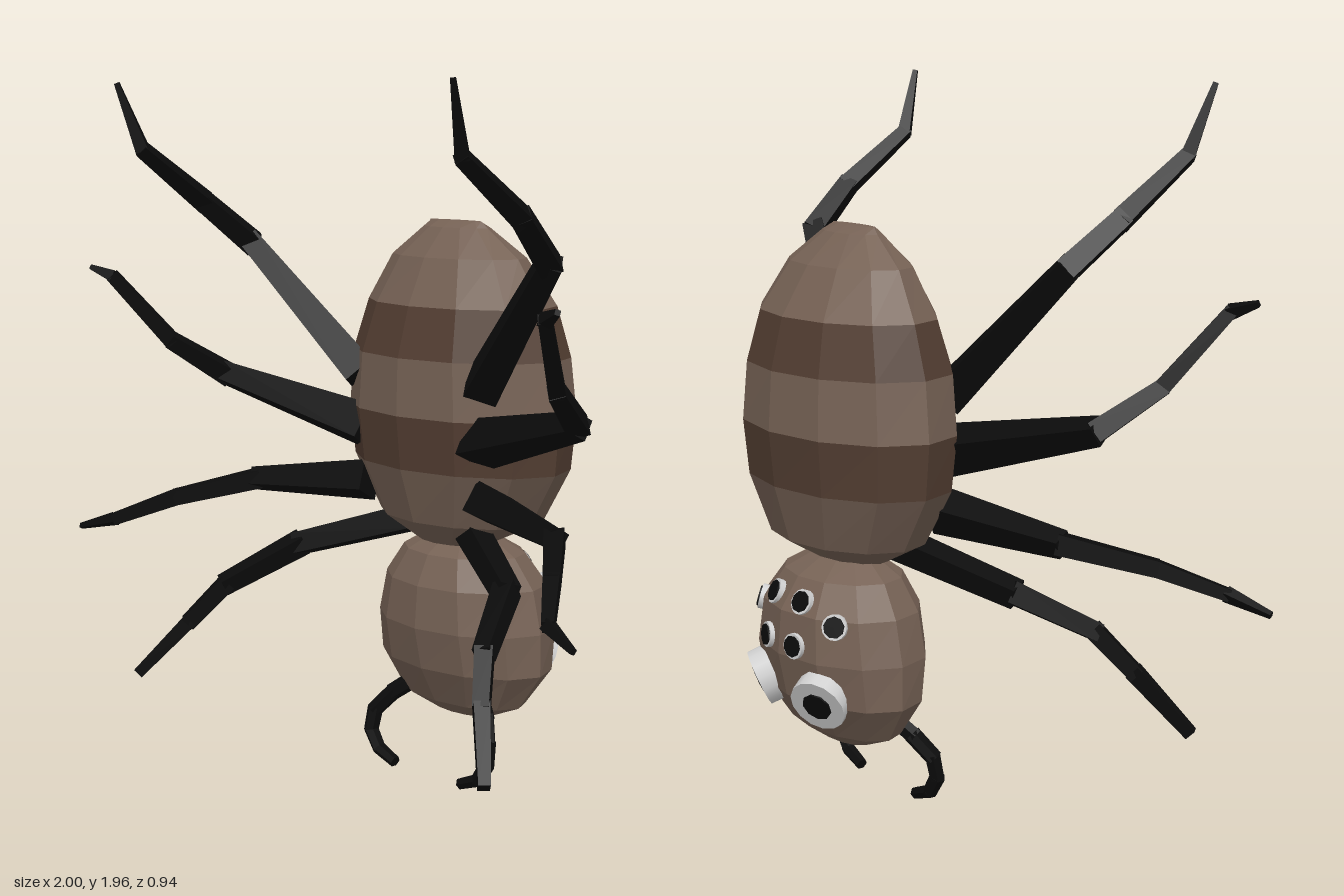
import * as THREE from 'three';

const mat = (name, color) => {
  const m = new THREE.MeshStandardMaterial({ color });
  m.name = name;
  return m;
};

// Flat-shaded loft of 12-sided elliptical rings, listed bottom to top as [y, halfWidth, zBack, zFront].
// rowMaterial gives the material index of each row.
function loft(rings, rowMaterial = () => 0) {
  const sides = 12, pos = [], geo = new THREE.BufferGeometry();
  const point = (j, i) => {
    const [y, w, zb, zf] = rings[j], a = (i / sides) * Math.PI * 2;
    return [w * Math.sin(a), y, (zb + zf) / 2 + ((zf - zb) / 2) * Math.cos(a)];
  };
  for (let j = 0; j < rings.length - 1; j++) {
    geo.addGroup(pos.length / 3, sides * 6, rowMaterial(j));
    for (let i = 0; i < sides; i++) {
      const a = point(j, i), b = point(j, i + 1), c = point(j + 1, i + 1), d = point(j + 1, i);
      pos.push(...a, ...b, ...c, ...a, ...c, ...d);
    }
  }
  geo.setAttribute('position', new THREE.Float32BufferAttribute(pos, 3));
  geo.computeVertexNormals();
  return geo;
}

// Tapered flat-sided rod between two points
function rod(p, q, r0, r1, sides, material) {
  const a = new THREE.Vector3(...p), b = new THREE.Vector3(...q), dir = b.clone().sub(a);
  const geo = new THREE.CylinderGeometry(r1, r0, dir.length() + r1 * 0.6, sides).toNonIndexed();
  geo.computeVertexNormals();
  const mesh = new THREE.Mesh(geo, material);
  mesh.position.copy(a).add(b).multiplyScalar(0.5);
  mesh.quaternion.setFromUnitVectors(new THREE.Vector3(0, 1, 0), dir.normalize());
  return mesh;
}

// Chain of rods; each path point is [x, y, z, radius]
function limb(name, path, side, sides, material) {
  const g = new THREE.Group();
  g.name = name;
  const at = ([x, y, z]) => [x * side, y, z];
  for (let i = 0; i < path.length - 1; i++) {
    const m = rod(at(path[i]), at(path[i + 1]), path[i][3], path[i + 1][3], sides, material);
    m.name = name + 'Segment';
    g.add(m);
  }
  return g;
}

export function createModel() {
  const model = new THREE.Group();
  model.name = 'spider';
  const light = mat('light brown', 0x766255);
  const dark = mat('dark brown', 0x533e32);
  const black = mat('black', 0x0b0b0b);
  const white = mat('eye white', 0xd0d0d0);

  // Striped abdomen
  const abdomen = new THREE.Mesh(loft([
    [0.675, 0.001, -0.2, -0.198],
    [0.685, 0.12, -0.29, -0.12],
    [0.755, 0.27, -0.41, -0.04],
    [0.91, 0.365, -0.455, 0.01],
    [1.06, 0.38, -0.47, 0.025],
    [1.22, 0.36, -0.46, 0.02],
    [1.36, 0.315, -0.425, -0.02],
    [1.49, 0.23, -0.345, -0.08],
    [1.57, 0.12, -0.26, -0.15],
    [1.588, 0.1, -0.22, -0.18],
    [1.589, 0.001, -0.2, -0.198],
  ], (j) => (j === 3 || j === 5 ? 1 : 0)), [light, dark]);
  abdomen.name = 'abdomen';
  model.add(abdomen);

  // Head
  const head = new THREE.Mesh(loft([
    [0.175, 0.001, -0.241, -0.239],
    [0.18, 0.11, -0.29, -0.19],
    [0.225, 0.22, -0.355, -0.125],
    [0.33, 0.295, -0.425, -0.07],
    [0.45, 0.295, -0.45, -0.045],
    [0.57, 0.265, -0.44, -0.055],
    [0.655, 0.2, -0.385, -0.095],
    [0.7, 0.12, -0.31, -0.16],
    [0.71, 0.001, -0.241, -0.239],
  ]), light);
  head.name = 'head';
  model.add(head);

  // Eyes: white discs with black pupils, seated on the back of the head
  const ray = new THREE.Raycaster();
  const eye = (name, x, y, normal, r, pupilR, lift) => {
    ray.set(new THREE.Vector3(x, y, -2), new THREE.Vector3(0, 0, 1));
    const hit = ray.intersectObject(head)[0];
    const g = new THREE.Group();
    g.name = name;
    g.position.copy(hit.point);
    g.quaternion.setFromUnitVectors(new THREE.Vector3(0, 1, 0), new THREE.Vector3(...normal).normalize());
    const disc = new THREE.Mesh(new THREE.CylinderGeometry(r, r, 0.05, 14), white);
    disc.name = name + 'White';
    disc.position.y = lift - 0.025;
    const pupil = new THREE.Mesh(new THREE.CylinderGeometry(pupilR, pupilR, 0.006, 9), black);
    pupil.name = name + 'Pupil';
    pupil.position.y = lift + 0.002;
    g.add(disc, pupil);
    model.add(g);
  };

  // Leg paths, rear pair to front pair
  const legs = {
    rearLeg: [[0.25, 1.16, -0.06, 0.065], [0.59, 1.51, 0.05, 0.042], [0.63, 1.63, 0.19, 0.036],
      [0.635, 1.78, 0.4, 0.026], [0.665, 1.96, 0.46, 0.01]],
    upperMiddleLeg: [[0.23, 1.0, -0.07, 0.075], [0.7, 1.115, 0.06, 0.04], [0.77, 1.22, 0.21, 0.03],
      [0.86, 1.41, 0.35, 0.024], [0.925, 1.435, 0.38, 0.01]],
    lowerMiddleLeg: [[0.24, 0.84, -0.08, 0.065], [0.6, 0.81, 0.03, 0.038], [0.76, 0.755, 0.21, 0.03],
      [0.88, 0.69, 0.35, 0.022], [0.995, 0.657, 0.39, 0.01]],
    frontLeg: [[0.13, 0.735, -0.14, 0.05], [0.42, 0.64, 0.02, 0.042], [0.53, 0.53, 0.21, 0.034],
      [0.6, 0.42, 0.29, 0.03], [0.71, 0.265, 0.39, 0.022]],
  };
  const fang = [[0.14, 0.25, -0.17, 0.026], [0.19, 0.21, -0.14, 0.025], [0.232, 0.155, -0.105, 0.024],
    [0.238, 0.095, -0.095, 0.022], [0.205, 0.045, -0.095, 0.02], [0.14, 0.02, -0.095, 0.017]];

  for (const [side, label] of [[1, 'left'], [-1, 'right']]) {
    for (const [name, path] of Object.entries(legs)) {
      model.add(limb(label + name[0].toUpperCase() + name.slice(1), path, side, 4, black));
    }
    model.add(limb(label + 'Fang', fang, side, 6, black));
    eye(label + 'MainEye', 0.14 * side, 0.345, [0.42 * side, -0.42, -0.8], 0.08, 0.042, 0.02);
    eye(label + 'OuterEye', 0.18 * side, 0.555, [0.6 * side, 0.25, -0.76], 0.035, 0.029, 0.012);
    eye(label + 'UpperEye', 0.065 * side, 0.6, [0.2 * side, 0.4, -0.9], 0.035, 0.029, 0.012);
    eye(label + 'LowerEye', 0.065 * side, 0.485, [0.2 * side, 0.08, -0.97], 0.035, 0.029, 0.012);
  }
  return model;
}
